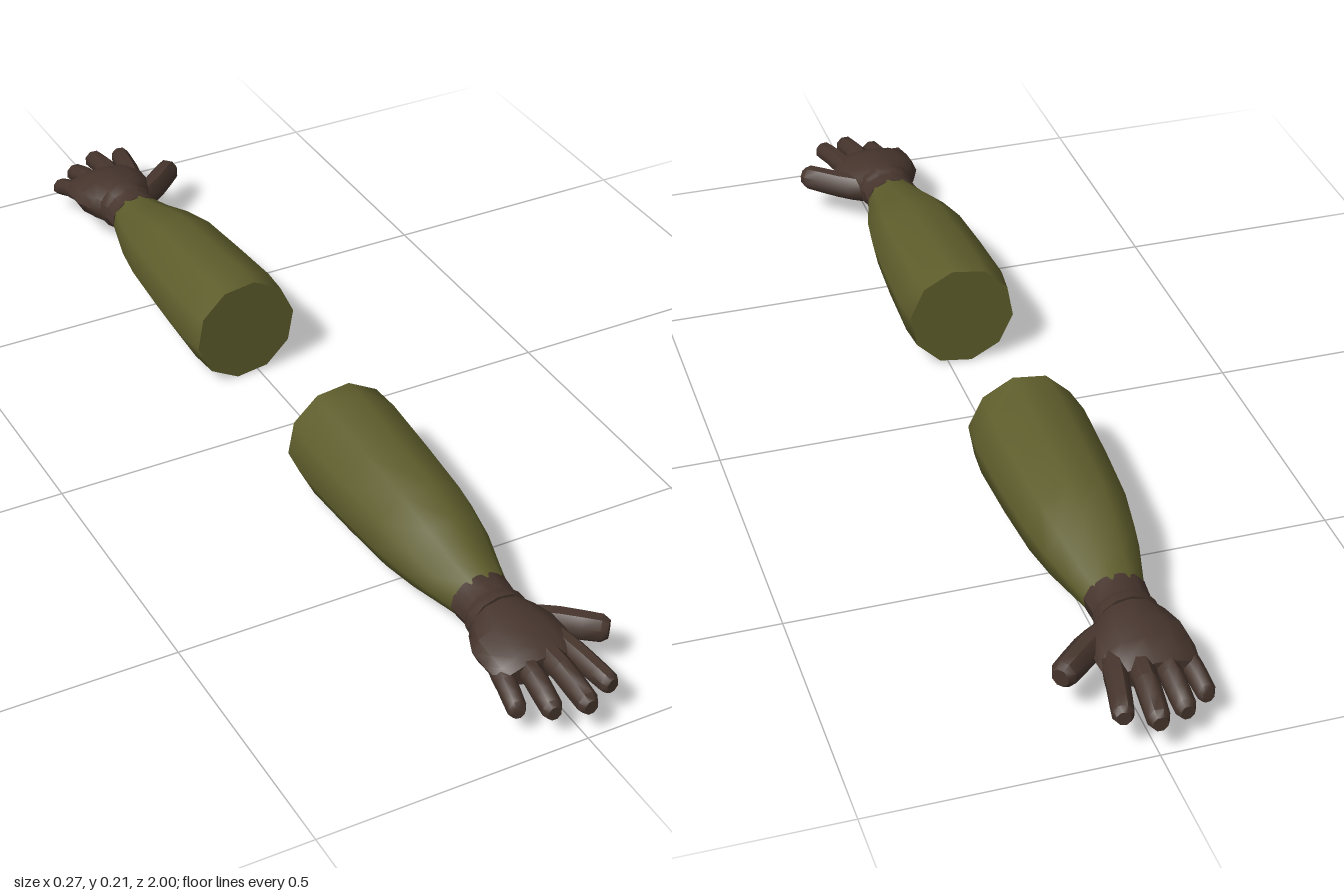
import * as THREE from 'three';
import { toCreasedNormals } from 'three/addons/utils/BufferGeometryUtils.js';

// Closed tube through sections [x, y, z, halfWidth, halfHeight]; zSign -1 mirrors it front to back
function loft(sections, sides, phase, crease, zSign) {
  const pos = [], index = [], n = sections.length;
  const tri = (a, b, c) => (zSign > 0 ? index.push(a, b, c) : index.push(a, c, b));
  sections.forEach(([x, y, z, w, h], k) => {
    const p = sections[Math.max(k - 1, 0)], q = sections[Math.min(k + 1, n - 1)];
    const len = Math.hypot(q[0] - p[0], q[2] - p[2]);
    const tx = (q[0] - p[0]) / len, tz = (q[2] - p[2]) / len;
    for (let i = 0; i < sides; i++) {
      const a = phase + (i / sides) * Math.PI * 2;
      const u = Math.cos(a) * w, v = Math.sin(a) * h;
      pos.push(x + tz * u, y + v, (z - tx * u) * zSign);
    }
  });
  for (let k = 0; k < n - 1; k++) {
    for (let i = 0; i < sides; i++) {
      const j = (i + 1) % sides, a = k * sides, b = a + sides;
      tri(a + i, a + j, b + i);
      tri(a + j, b + j, b + i);
    }
  }
  // end caps
  const last = (n - 1) * sides;
  for (let i = 1; i < sides - 1; i++) {
    tri(0, i + 1, i);
    tri(last, last + i, last + i + 1);
  }
  const g = new THREE.BufferGeometry();
  g.setAttribute('position', new THREE.Float32BufferAttribute(pos, 3));
  g.setIndex(index);
  return toCreasedNormals(g, crease);
}

const SLEEVE = [
  [-0.027, 0.107, 0.19, 0.104, 0.105],
  [-0.028, 0.107, 0.25, 0.111, 0.103],
  [-0.028, 0.105, 0.38, 0.107, 0.094],
  [-0.028, 0.104, 0.5, 0.099, 0.087],
  [-0.028, 0.1, 0.58, 0.086, 0.071],
  [-0.028, 0.094, 0.65, 0.067, 0.053],
  [-0.028, 0.092, 0.705, 0.052, 0.043],
];
const CUFF = [
  [-0.028, 0.092, 0.695, 0.056, 0.045],
  [-0.028, 0.09, 0.735, 0.053, 0.043],
  [-0.028, 0.088, 0.745, 0.057, 0.05],
  [-0.028, 0.088, 0.762, 0.057, 0.051],
];
const PALM = [
  [-0.028, 0.088, 0.75, 0.052, 0.045],
  [-0.028, 0.087, 0.775, 0.068, 0.047],
  [-0.028, 0.086, 0.81, 0.083, 0.044],
  [-0.027, 0.086, 0.85, 0.085, 0.038],
  [-0.027, 0.084, 0.88, 0.081, 0.031],
  [-0.027, 0.082, 0.895, 0.07, 0.022],
];
// Each finger: base, knuckle and tip as [x, y, z], then half thickness
const FINGERS = {
  littleFinger: [[-0.087, 0.082, 0.85], [-0.094, 0.074, 0.895], [-0.101, 0.056, 0.945], 0.017],
  ringFinger: [[-0.048, 0.09, 0.85], [-0.05, 0.082, 0.91], [-0.053, 0.061, 0.978], 0.019],
  middleFinger: [[-0.008, 0.093, 0.85], [-0.003, 0.088, 0.92], [0.002, 0.069, 1.0], 0.02],
  indexFinger: [[0.031, 0.09, 0.85], [0.042, 0.086, 0.91], [0.056, 0.076, 0.978], 0.019],
  thumb: [[0.0, 0.08, 0.765], [0.06, 0.082, 0.805], [0.124, 0.083, 0.862], 0.024],
};

// Fingers taper slightly and round off at the tip
function fingerSections([base, mid, tip, r]) {
  const at = (a, b, t, s) => [...a.map((v, i) => v + (b[i] - v) * t), r * s, r * s * 1.05];
  return [
    at(base, mid, 0, 1.05), at(base, mid, 0.6, 1.12), at(mid, tip, 0, 1.08),
    at(mid, tip, 0.5, 1.05), at(mid, tip, 0.86, 1.0), at(mid, tip, 1, 0.68),
  ];
}

export function createModel() {
  const olive = new THREE.MeshStandardMaterial({ color: 0x5e5d2c });
  olive.name = 'oliveCloth';
  const brown = new THREE.MeshStandardMaterial({ color: 0x46352d });
  brown.name = 'brownLeather';

  const model = new THREE.Group();
  model.name = 'glovedArms';
  for (const s of [1, -1]) {
    const arm = new THREE.Group();
    arm.name = s > 0 ? 'frontArm' : 'backArm';
    const add = (name, sections, sides, phase, crease, material) => {
      const mesh = new THREE.Mesh(loft(sections, sides, phase, crease, s), material);
      mesh.name = name;
      arm.add(mesh);
    };
    add('sleeve', SLEEVE, 10, 0.13, 1.1, olive);
    add('gloveCuff', CUFF, 12, 0.13, 0.6, brown);
    add('palm', PALM, 12, 0, 0.75, brown);
    for (const [name, finger] of Object.entries(FINGERS)) {
      add(name, fingerSections(finger), 8, Math.PI / 8, 0.8, brown);
    }
    model.add(arm);
  }
  return model;
}
